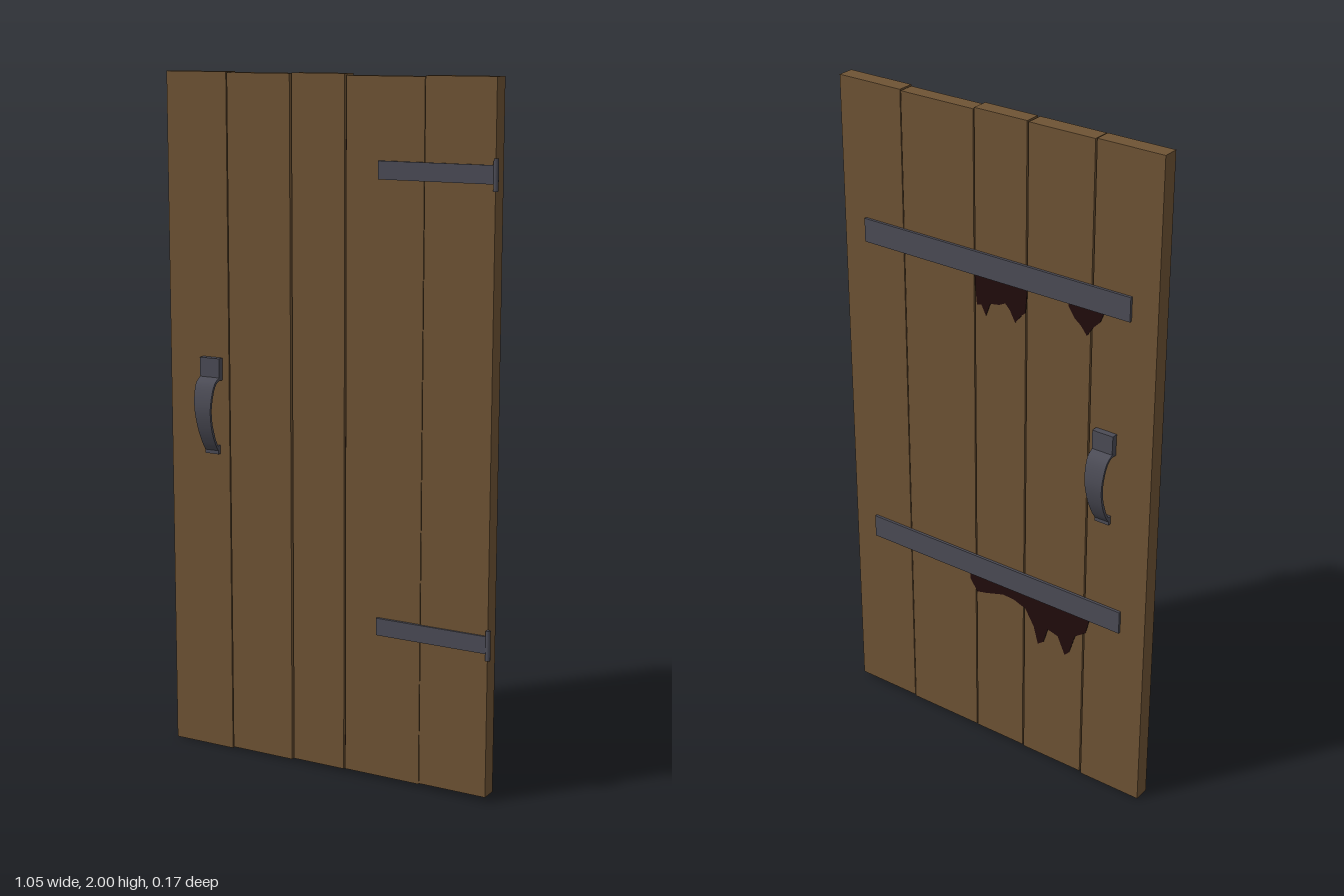
import * as THREE from 'three';
import { toCreasedNormals } from 'three/addons/utils/BufferGeometryUtils.js';

export function createModel() {
  const wood = new THREE.MeshStandardMaterial({ color: 0x6e5334 });
  wood.name = 'wood';
  const iron = new THREE.MeshStandardMaterial({ color: 0x4b4b55 });
  iron.name = 'iron';
  const stainMat = new THREE.MeshStandardMaterial({ color: 0x200c0c });
  stainMat.name = 'darkStain';

  const door = new THREE.Group();
  door.name = 'plankDoor';
  const add = (name, geometry, material, parent = door) => {
    const mesh = new THREE.Mesh(geometry, material);
    mesh.name = name;
    parent.add(mesh);
    return mesh;
  };
  // Box given by its limits on each axis
  const block = (name, material, x0, x1, y0, y1, z0, z1) => {
    const g = new THREE.BoxGeometry(x1 - x0, y1 - y0, z1 - z0);
    g.translate((x0 + x1) / 2, (y0 + y1) / 2, (z0 + z1) / 2);
    return add(name, g, material);
  };

  // Uneven planks: left edge, right edge, bottom, top, front
  const BACK = -0.027;
  const planks = [
    [-0.525, -0.325, 0, 2, 0.021],
    [-0.32, -0.116, 0.006, 1.998, 0.024],
    [-0.111, 0.057, 0.009, 2, 0.021],
    [0.061, 0.3, 0.01, 1.995, 0.019],
    [0.303, 0.511, 0.014, 1.998, 0.022],
  ];
  planks.forEach(([x0, x1, y0, y1, front], i) => {
    block('plank' + (i + 1), wood, x0, x1, y0, y1, BACK, front);
    // Dark seam recessed between neighbours
    if (i > 0) block('seam' + i, stainMat, planks[i - 1][1], x0, 0.015, 1.99, -0.018, 0.012);
  });

  // Cross bars on the back
  for (const y of [0.56, 1.53]) block('backBar', iron, -0.445, 0.435, y, y + 0.07, -0.035, BACK);

  // Hinge straps and their pins on the front
  for (const y of [0.46, 1.745]) {
    block('hingeStrap', iron, 0.165, 0.515, y - 0.025, y + 0.025, 0.018, 0.028);
    const pin = new THREE.CylinderGeometry(0.007, 0.007, 0.086, 12);
    pin.translate(0.515, y, 0.028);
    add('hingePin', pin, iron);
  }

  // Handle: bowed strap with mounting pads, tapering downwards
  const bow = new THREE.CatmullRomCurve3([
    [0.034, 1.13], [0.06, 1.112], [0.076, 1.05], [0.065, 0.985], [0.042, 0.935], [0.028, 0.915],
  ].map(([z, y]) => new THREE.Vector3(z, y, 0))).getPoints(24);
  const side = (s) => bow.map((p, i) => {
    const a = bow[Math.max(i - 1, 0)], b = bow[Math.min(i + 1, bow.length - 1)];
    const t = b.clone().sub(a).normalize();
    return new THREE.Vector2(p.x - t.y * s, p.y + t.x * s);
  });
  const strapShape = new THREE.Shape([...side(0.004), ...side(-0.004).reverse()]);
  const padShape = (y0, y1, z) => new THREE.Shape(
    [[0, y0], [z, y0], [z, y1], [0, y1]].map(([x, y]) => new THREE.Vector2(x, y)));
  const handlePart = (shape) => {
    const g = new THREE.ExtrudeGeometry(shape, { depth: 1, bevelEnabled: false });
    g.rotateY(-Math.PI / 2).translate(0.5, 0, 0);
    const p = g.attributes.position;
    for (let i = 0; i < p.count; i++) {
      const k = THREE.MathUtils.smoothstep(p.getY(i), 0.93, 1.17);
      p.setX(i, p.getX(i) * THREE.MathUtils.lerp(0.045, 0.066, k));
    }
    return toCreasedNormals(g, 0.6);
  };
  const parts = {
    handleStrap: handlePart(strapShape),
    handleTopPad: handlePart(padShape(1.122, 1.187, 0.04)),
    handleBottomPad: handlePart(padShape(0.903, 0.928, 0.032)),
  };
  for (const [name, turn, z] of [['frontHandle', 0, 0.001], ['backHandle', Math.PI, -0.006]]) {
    const handle = new THREE.Group();
    handle.name = name;
    for (const part in parts) add(part, parts[part], iron, handle);
    handle.rotation.y = turn;
    handle.position.set(-0.379, 0, z);
    door.add(handle);
  }

  // Ragged stains running down from the back bars: x and drop below the bar
  const stain = (name, barBottom, drips) => {
    const last = drips[drips.length - 1];
    const outline = [[drips[0][0], -0.03], ...drips, [last[0], -0.03]];
    const shape = new THREE.Shape(outline.map(([x, d]) => new THREE.Vector2(x, barBottom - d)));
    const g = new THREE.ExtrudeGeometry(shape, { depth: 0.002, bevelEnabled: false });
    g.translate(0, 0, BACK - 0.002);
    add(name, g, stainMat);
  };
  stain('upperStain', 1.53, [
    [0.057, 0.02], [0.05, 0.09], [0.035, 0.085], [0.02, 0.115], [0.005, 0.075], [-0.025, 0.07],
    [-0.045, 0.06], [-0.06, 0.075], [-0.078, 0.108], [-0.1, 0.08], [-0.112, 0.07], [-0.116, 0.02],
  ]);
  stain('smallStain', 1.53, [
    [-0.25, 0.01], [-0.27, 0.04], [-0.29, 0.055], [-0.31, 0.08], [-0.33, 0.05], [-0.35, 0.03], [-0.36, 0.005],
  ]);
  stain('lowerStain', 0.56, [
    [0.08, 0.02], [0.055, 0.058], [0.02, 0.05], [-0.04, 0.032], [-0.08, 0.035], [-0.12, 0.05],
    [-0.15, 0.1], [-0.165, 0.155], [-0.185, 0.14], [-0.2, 0.09], [-0.235, 0.1], [-0.26, 0.155],
    [-0.275, 0.14], [-0.295, 0.075], [-0.33, 0.05], [-0.34, 0.01],
  ]);

  return door;
}
